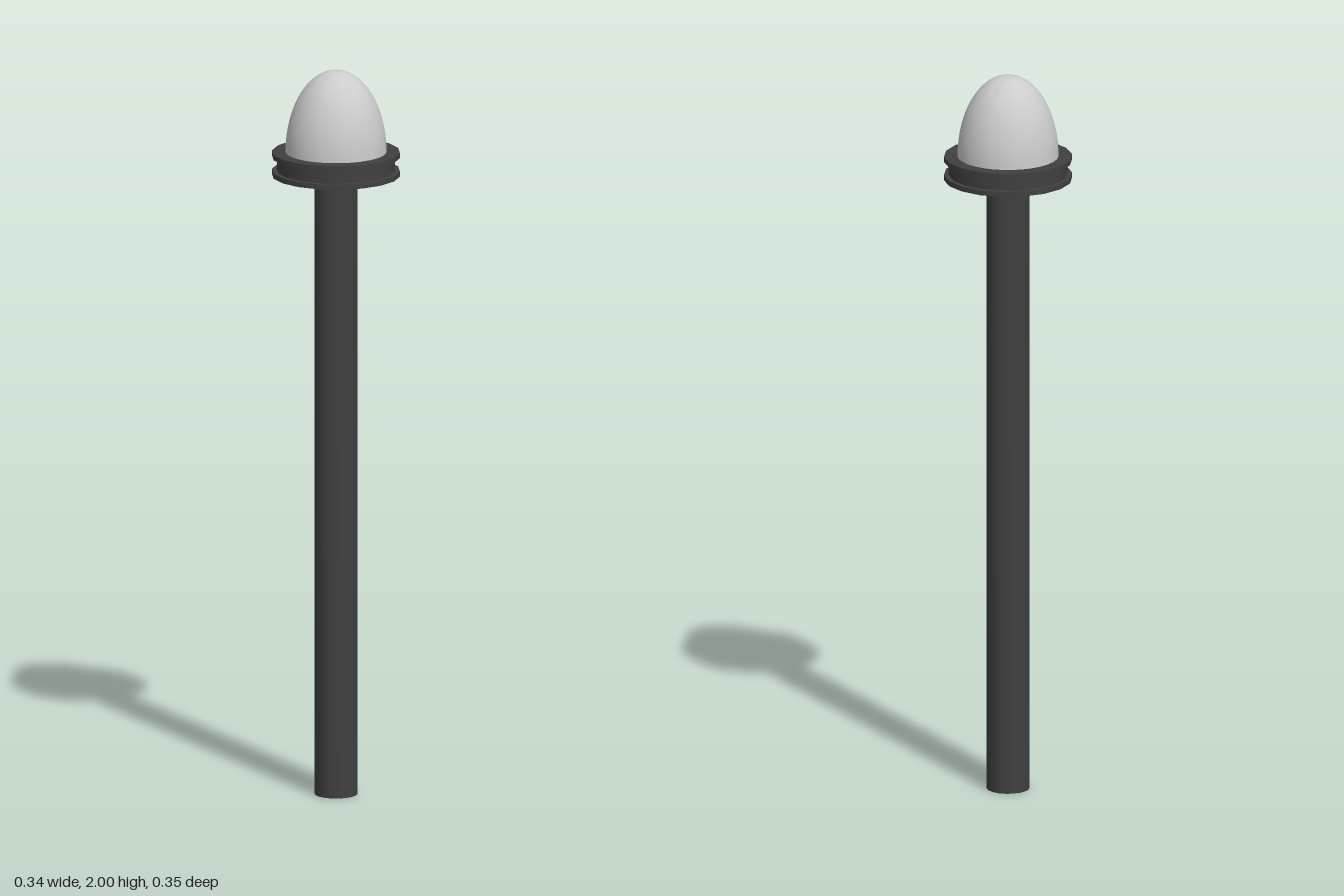
import * as THREE from 'three';
import { toCreasedNormals } from 'three/addons/utils/BufferGeometryUtils.js';

const DARK = 0x404040;

// Revolve a profile of [radius, y] pairs, listed from bottom to top
function lathe(name, profile, segments, color, crease) {
  const points = profile.map(([r, y]) => new THREE.Vector2(r, y));
  const geometry = toCreasedNormals(new THREE.LatheGeometry(points, segments), crease);
  const material = new THREE.MeshStandardMaterial({ color, side: THREE.DoubleSide });
  const mesh = new THREE.Mesh(geometry, material);
  mesh.name = name;
  return mesh;
}

export function createModel() {
  const group = new THREE.Group();
  group.name = 'bollardLight';

  // Hollow post, open at the bottom
  group.add(lathe('post', [[0.058, 0], [0.058, 1.715]], 18, DARK, 0.6));

  // Collar: two lips with a groove between them
  group.add(lathe('collar', [
    [0, 1.71], [0.173, 1.71], [0.173, 1.724], [0.16, 1.724],
    [0.16, 1.761], [0.173, 1.761], [0.173, 1.775], [0, 1.775],
  ], 18, DARK, 0.6));

  // Domed lamp cover: a tall half ellipse
  const dome = [];
  const steps = 20;
  for (let i = 0; i <= steps; i++) {
    const a = (i / steps) * Math.PI / 2;
    dome.push([i === steps ? 0 : 0.136 * Math.cos(a), 1.775 + 0.225 * Math.sin(a)]);
  }
  group.add(lathe('lampDome', dome, 48, 0xcccccc, 0.8));

  return group;
}
